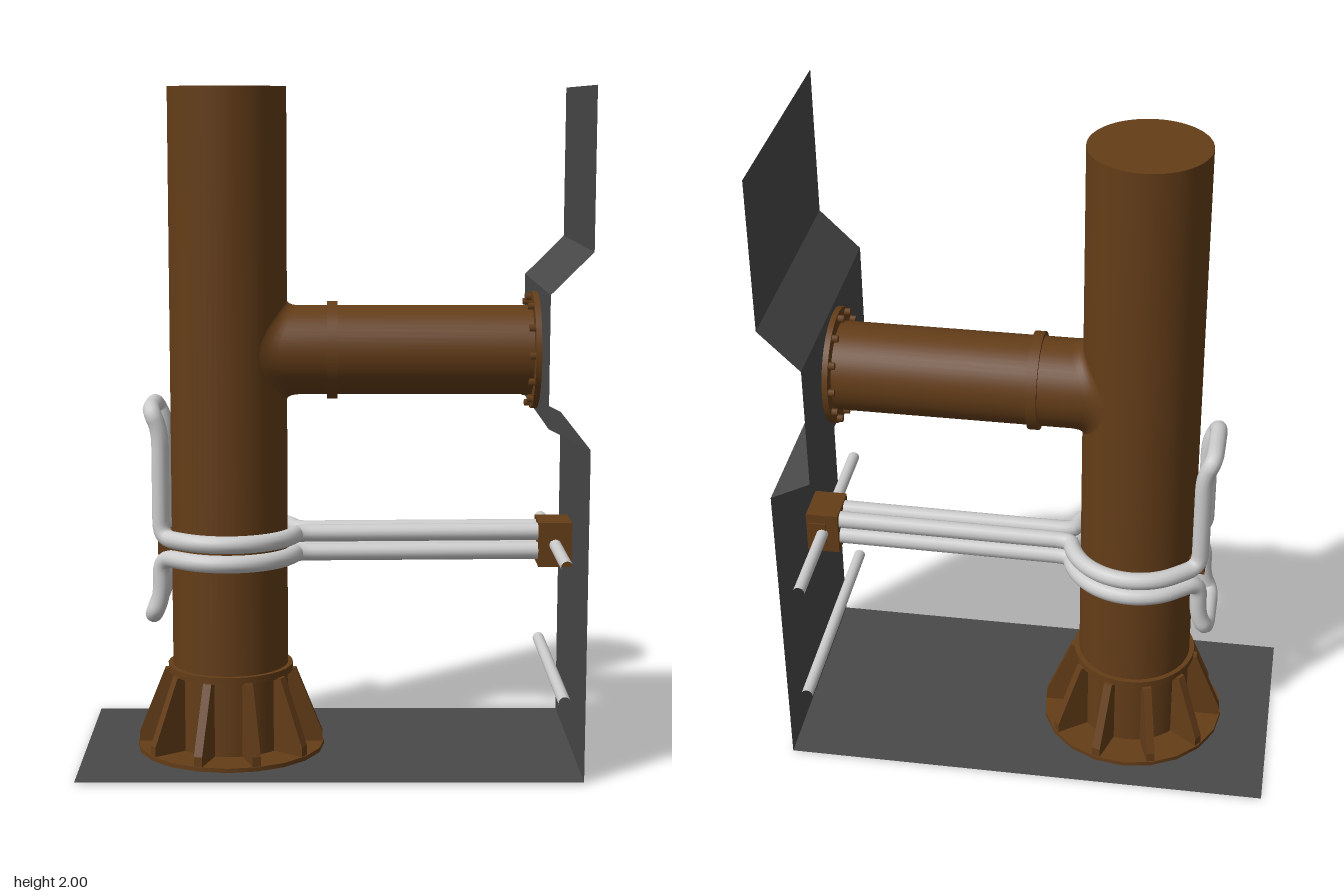
import * as THREE from 'three';

const brown = new THREE.MeshStandardMaterial({ color: 0x643d18 });
const dark = new THREE.MeshStandardMaterial({ color: 0x494949, side: THREE.DoubleSide });
const grey = new THREE.MeshStandardMaterial({ color: 0xcccccc });

const COL_X = -0.3, COL_R = 0.175;       // main column
const BR_Y = 1.223, BR_R = 0.133;        // side branch

function add(parent, name, geometry, material, x = 0, y = 0, z = 0) {
  const mesh = new THREE.Mesh(geometry, material);
  mesh.name = name;
  mesh.position.set(x, y, z);
  parent.add(mesh);
  return mesh;
}

// Cylinder lying along x, between x0 and x1
function xCylinder(parent, name, r, x0, x1, y, z = 0, sides = 48) {
  const g = new THREE.CylinderGeometry(r, r, x1 - x0, sides).rotateZ(-Math.PI / 2);
  return add(parent, name, g, brown, (x0 + x1) / 2, y, z);
}

// Polyline with softened corners
function roundedPath(points, radius) {
  const path = new THREE.CurvePath();
  let last = points[0];
  for (let i = 1; i < points.length - 1; i++) {
    const p = points[i];
    const toward = (q) => {
      const d = p.distanceTo(q);
      return p.clone().lerp(q, Math.min(radius, d * 0.49) / d);
    };
    const a = toward(points[i - 1]), b = toward(points[i + 1]);
    path.add(new THREE.LineCurve3(last, a));
    path.add(new THREE.QuadraticBezierCurve3(a, p, b));
    last = b;
  }
  path.add(new THREE.LineCurve3(last, points[points.length - 1]));
  return path;
}

// Pipe that leaves the box, wraps the column and closes in an upright loop
function pipeLoop(y, yEnd) {
  const dir = Math.sign(yEnd - y), R = 0.205;
  const half = [new THREE.Vector3(0.65, y + 0.005, 0.03)];
  for (let deg = 8.4; deg <= 129; deg += 10) {
    const a = THREE.MathUtils.degToRad(deg);
    half.push(new THREE.Vector3(COL_X + R * Math.cos(a), y, R * Math.sin(a)));
  }
  half.push(new THREE.Vector3(-0.5, y, 0.1));
  half.push(new THREE.Vector3(-0.5, yEnd - dir * 0.06, 0.1));
  half.push(new THREE.Vector3(-0.527, yEnd, 0.1));
  const other = half.map((p) => new THREE.Vector3(p.x, p.y, -p.z)).reverse();
  return new THREE.TubeGeometry(roundedPath([...half, ...other], 0.05), 320, 0.026, 14);
}

// Saddle-shaped fillet where the branch meets the column
function saddleFillet() {
  const pos = [], idx = [], rows = 6, n = 48, flare = 0.155;
  const onColumn = (r, t) => Math.sqrt(COL_R ** 2 - (r * Math.sin(t)) ** 2);
  for (let i = 0; i <= rows; i++) {
    for (let j = 0; j <= n; j++) {
      const s = i / rows, t = (j / n) * Math.PI * 2;
      const x0 = onColumn(flare, t) - 0.003, xc = onColumn(BR_R, t);
      const x = (1 - s) ** 2 * x0 + 2 * s * (1 - s) * xc + s * s * (xc + 0.035);
      const r = BR_R + 0.0005 + (1 - s) ** 2 * (flare - BR_R);
      pos.push(x, r * Math.cos(t), r * Math.sin(t));
      if (i < rows && j < n) {
        const a = i * (n + 1) + j, b = a + n + 1;
        idx.push(a, a + 1, b, a + 1, b + 1, b);
      }
    }
  }
  const g = new THREE.BufferGeometry();
  g.setAttribute('position', new THREE.Float32BufferAttribute(pos, 3));
  g.setIndex(idx);
  g.computeVertexNormals();
  return g;
}

export function createModel() {
  const model = new THREE.Group();
  model.name = 'pipeStand';

  // Thin floor, and a wall folded inward around the branch flange
  add(model, 'floor', new THREE.PlaneGeometry(1.48, 0.74).rotateX(-Math.PI / 2), dark, 0, 0.003, 0);
  const fold = [[0.74, 0], [0.74, 0.98], [0.62, 1.04], [0.62, 1.42], [0.74, 1.54], [0.74, 2]];
  const wall = new THREE.Group();
  wall.name = 'wall';
  model.add(wall);
  for (let i = 0; i < fold.length - 1; i++) {
    const [x0, y0] = fold[i], [x1, y1] = fold[i + 1];
    const g = new THREE.PlaneGeometry(0.74, Math.hypot(x1 - x0, y1 - y0))
      .rotateY(Math.PI / 2).rotateZ(-Math.atan2(x1 - x0, y1 - y0));
    add(wall, 'wallPanel', g, dark, (x0 + x1) / 2, (y0 + y1) / 2, 0);
  }

  // Column with its ribbed foot
  add(model, 'column', new THREE.CylinderGeometry(COL_R, COL_R, 1.99, 64), brown, COL_X, 1.005, 0);
  const foot = new THREE.Group();
  foot.name = 'foot';
  foot.position.x = COL_X;
  model.add(foot);
  add(foot, 'footPlate', new THREE.CylinderGeometry(0.285, 0.285, 0.016, 20), brown, 0, 0.008, 0);
  add(foot, 'footCollar', new THREE.CylinderGeometry(0.19, 0.19, 0.022, 40), brown, 0, 0.253, 0);
  const ribShape = new THREE.Shape(
    [[0.16, 0.012], [0.28, 0.012], [0.28, 0.045], [0.2, 0.245], [0.16, 0.245]]
      .map(([x, y]) => new THREE.Vector2(x, y)));
  const ribGeometry = new THREE.ExtrudeGeometry(ribShape, { depth: 0.026, bevelEnabled: false })
    .translate(0, 0, -0.013);
  for (let i = 0; i < 10; i++) {
    add(foot, 'footRib', ribGeometry, brown).rotation.y = (i * Math.PI) / 5;
  }

  // Side branch, collar and bolted flange
  xCylinder(model, 'branch', BR_R, COL_X + 0.08, 0.61, BR_Y);
  add(model, 'branchFillet', saddleFillet(), brown, COL_X, BR_Y, 0);
  xCylinder(model, 'branchCollar', 0.146, -0.005, 0.026, BR_Y);
  xCylinder(model, 'flange', 0.175, 0.603, 0.622, BR_Y);
  for (let i = 0; i < 12; i++) {
    const a = (i * Math.PI) / 6;
    xCylinder(model, 'flangeBolt', 0.011, 0.586, 0.606,
      BR_Y + 0.159 * Math.sin(a), 0.159 * Math.cos(a), 6);
  }

  // Two pipe loops clamped to the column and fed from the box
  add(model, 'upperPipeLoop', pipeLoop(0.67, 1.055), grey);
  add(model, 'lowerPipeLoop', pipeLoop(0.612, 0.43), grey);
  add(model, 'pipeClamp', new THREE.BoxGeometry(0.06, 0.06, 0.12), brown, -0.483, 0.64, 0);
  add(model, 'pipeBox', new THREE.BoxGeometry(0.1, 0.135, 0.13), brown, 0.68, 0.64, 0);
  add(model, 'pipeBoxPanel', new THREE.BoxGeometry(0.055, 0.085, 0.14), brown, 0.695, 0.635, 0);

  // Cross rods along the wall, open at their ends
  for (const y of [0.24, 0.64]) {
    const g = new THREE.CylinderGeometry(0.018, 0.018, 0.74, 16, 1, true).rotateX(Math.PI / 2);
    add(model, 'crossRod', g, grey, 0.68, y, 0);
  }
  return model;
}
